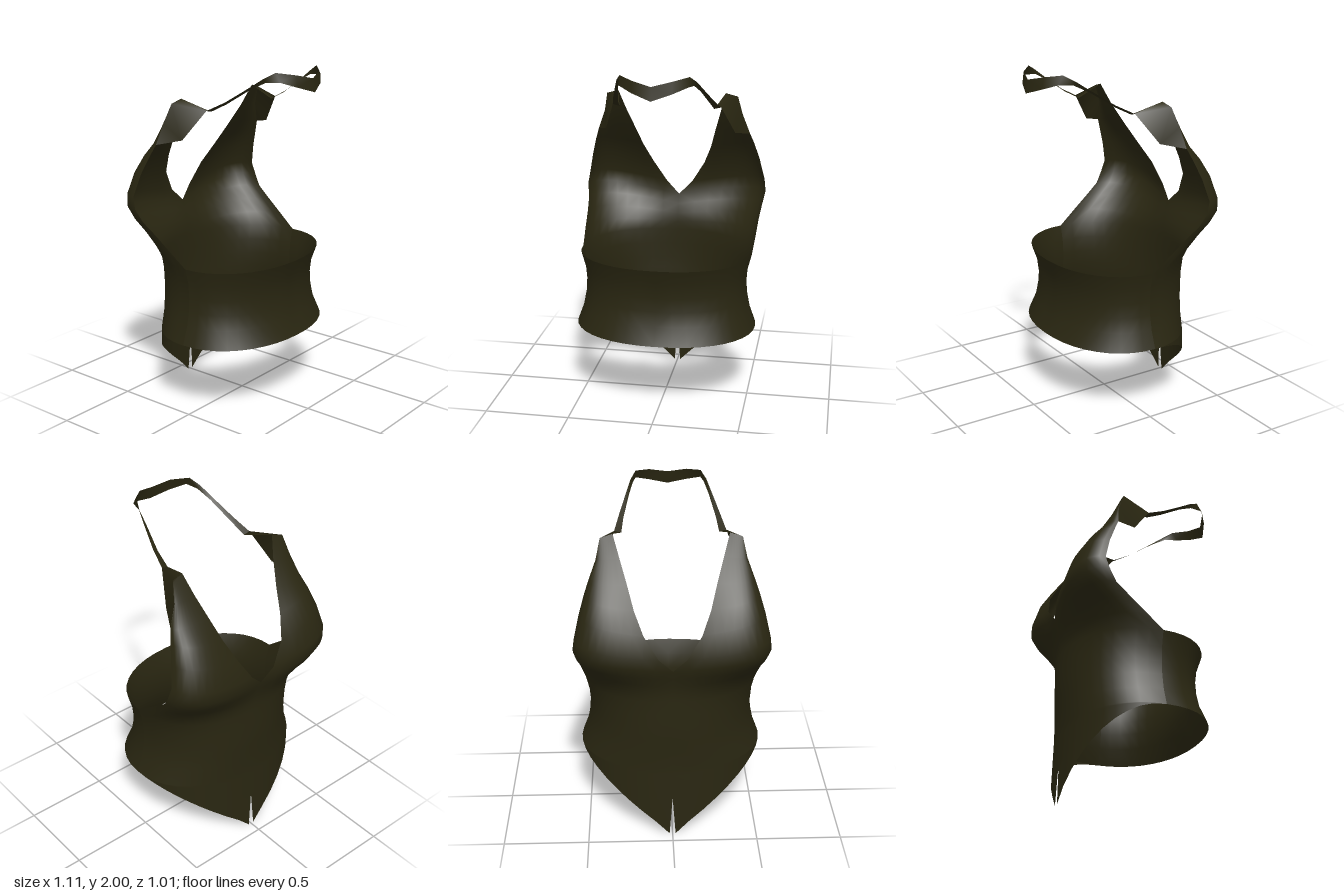
import * as THREE from 'three';
import { mergeGeometries, mergeVertices } from 'three/addons/utils/BufferGeometryUtils.js';

const P = 0.92; // slightly squared ellipse for the body sections
const lerp = THREE.MathUtils.lerp;
const sinP = (a) => Math.pow(Math.max(0, Math.sin(a)), P);
const cosP = (a) => Math.sign(Math.cos(a)) * Math.pow(Math.abs(Math.cos(a)), P);

// Surface from a grid of points; side = -1 mirrors it across x
function grid(rows, side) {
  const n = rows[0].length, index = [];
  const pos = rows.flat().flatMap(([x, y, z]) => [x * side, y, z]);
  for (let j = 0; j < rows.length - 1; j++) {
    for (let i = 0; i < n - 1; i++) {
      const a = j * n + i, b = a + 1, c = a + n, d = c + 1;
      if (side > 0) index.push(a, c, b, b, c, d);
      else index.push(a, b, c, b, d, c);
    }
  }
  const g = new THREE.BufferGeometry();
  g.setAttribute('position', new THREE.Float32BufferAttribute(pos, 3));
  g.setIndex(index);
  return g;
}

// Both mirrored halves welded along the centre with smooth normals
function mirrored(name, rows, material) {
  const g = mergeVertices(mergeGeometries([grid(rows, 1), grid(rows, -1)]), 1e-4);
  g.computeVertexNormals();
  const mesh = new THREE.Mesh(g, material);
  mesh.name = name;
  return mesh;
}

const SEG = 10;
const angles = (from, to) => Array.from({ length: SEG + 1 }, (_, i) => lerp(from, to, i / SEG));

// Waist sections: height, half width, front depth, back depth
const waist = [
  [0.45, 0.54, 0.412, 0.415],
  [0.55, 0.503, 0.416, 0.368],
  [0.64, 0.485, 0.422, 0.35],
  [0.72, 0.48, 0.425, 0.345],
  [0.81, 0.487, 0.425, 0.357],
  [0.9, 0.51, 0.425, 0.39],
];

// Bust sections: neckline edge xyz, armhole edge xyz, fullness
const bust = [
  [0, 0.95, -0.428, 0.52, 0.98, -0.1, 0],
  [0, 1.0, -0.435, 0.528, 1.06, -0.2, 0.025],
  [0, 1.06, -0.45, 0.54, 1.13, -0.29, 0.05],
  [0, 1.12, -0.47, 0.555, 1.2, -0.335, 0.06],
  [0.08, 1.2, -0.485, 0.545, 1.27, -0.355, 0.04],
  [0.16, 1.33, -0.455, 0.515, 1.4, -0.32, 0.025],
  [0.21, 1.45, -0.385, 0.485, 1.5, -0.28, 0.02],
  [0.245, 1.57, -0.31, 0.46, 1.57, -0.25, 0.012],
  [0.285, 1.7, -0.235, 0.415, 1.69, -0.23, 0.005],
  [0.32, 1.82, -0.18, 0.39, 1.8, -0.19, 0],
];

function frontRows() {
  const front = angles(0, Math.PI / 2), rows = [];
  // pointed hem with a small centre slit
  const steps = 9;
  for (let k = 0; k < steps; k++) {
    const t = k / steps;
    rows.push(front.map((a, i) => {
      const s = sinP(a), y = lerp(0.45 * s, 0.45, t);
      const slit = i === 0 ? 0.018 * Math.max(0, 1 - y / 0.25) : 0;
      return [0.54 * s + slit, y, -lerp(0.428, 0.412, y / 0.45) * cosP(a)];
    }));
  }
  // waist
  for (const [y, w, f] of waist) rows.push(front.map((a) => [w * sinP(a), y, -f * cosP(a)]));
  // bust, narrowing to the shoulders
  for (const [xi, yi, zi, xo, yo, zo, full] of bust) {
    rows.push(front.map((a) => [
      lerp(xi, xo, sinP(a)),
      lerp(yi, yo, sinP(a)),
      lerp(zo, zi, cosP(a)) - full * Math.sin(2 * a),
    ]));
  }
  return rows;
}

export function createModel() {
  const cloth = new THREE.MeshStandardMaterial({ color: 0x292611 });
  cloth.name = 'dark olive cloth';
  cloth.side = THREE.DoubleSide;

  const group = new THREE.Group();
  group.name = 'halterVest';

  group.add(mirrored('frontPanel', frontRows(), cloth));

  // band around the back
  const back = angles(Math.PI / 2, Math.PI);
  group.add(mirrored('backBand',
    waist.map(([y, w, , b]) => back.map((a) => [w * sinP(a), y, -b * cosP(a)])), cloth));

  // flaps folded over the shoulders, gathering into the strap
  group.add(mirrored('shoulderFlap', [
    [[0.275, 1.76, 0], [0.315, 1.77, 0], [0.385, 1.6, -0.12], [0.46, 1.57, -0.25]],
    [[0.32, 1.82, -0.18], [0.39, 1.8, -0.19], [0.415, 1.69, -0.23], [0.46, 1.57, -0.25]],
  ], cloth));

  // strap behind the neck: lower edge, upper edge
  group.add(mirrored('neckStrap', [
    [[0, 1.885, 0.505], [0.11, 1.92, 0.465], [0.19, 1.95, 0.41], [0.207, 1.945, 0.33],
      [0.23, 1.9, 0.24], [0.263, 1.81, 0.1], [0.275, 1.76, 0]],
    [[0, 1.96, 0.49], [0.11, 1.985, 0.455], [0.19, 2.0, 0.38], [0.22, 1.965, 0.32],
      [0.247, 1.91, 0.24], [0.288, 1.825, 0.11], [0.315, 1.77, 0]],
  ], cloth));

  return group;
}
